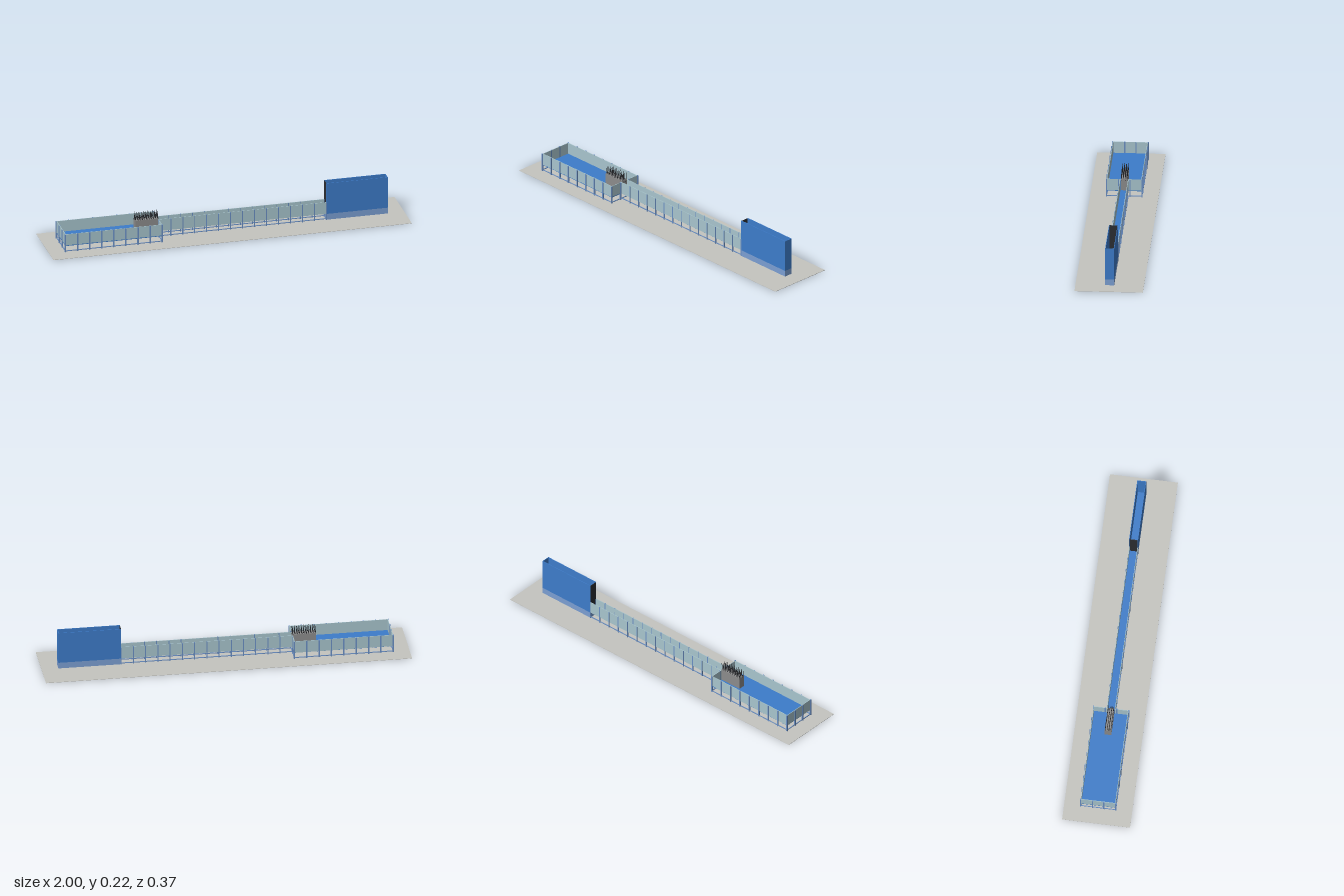
import * as THREE from 'three';

const mat = (color) => new THREE.MeshStandardMaterial({ color });

export function createModel() {
  const model = new THREE.Group();
  const blue = mat(0x3d7cca), paleBlue = mat(0x7b9fd3), frameBlue = mat(0x6a8fc4);
  const glass = mat(0xa8c5ce), concrete = mat(0xc5c5c0), dark = mat(0x2b2d31), grey = mat(0x8c8c8c);

  // box given by its minimum and maximum on each axis
  function box(parent, name, x0, x1, y0, y1, z0, z1, material) {
    const mesh = new THREE.Mesh(new THREE.BoxGeometry(x1 - x0, y1 - y0, z1 - z0), material);
    mesh.position.set((x0 + x1) / 2, (y0 + y1) / 2, (z0 + z1) / 2);
    mesh.name = name;
    parent.add(mesh);
    return mesh;
  }
  function group(name) {
    const g = new THREE.Group();
    g.name = name;
    model.add(g);
    return g;
  }
  const post = (parent, x, z, s = 0.007, top = WALL_TOP) =>
    box(parent, 'post', x - s / 2, x + s / 2, 0.002, top, z - s / 2, z + s / 2, frameBlue);

  const WALL_TOP = 0.104, DECK = 0.036, FLOOR = 0.04, T = 0.003;
  const B0 = -0.91, B1 = -0.37, BZ = 0.095;   // basin
  const C1 = 0.565, CZ = 0.022;               // channel
  const H1 = 0.908, HZ = 0.0245;              // head tank

  box(model, 'groundSlab', -1, 1, 0, 0.002, -0.185, 0.185, concrete);

  // Wide basin
  const basin = group('basin');
  box(basin, 'basinFloor', B0, B1, DECK, FLOOR, -BZ, BZ, blue);
  box(basin, 'basinEndWall', B0, B0 + T, DECK, WALL_TOP, -BZ, BZ, glass);
  for (const s of [-1, 1]) {
    const side = (a, b) => [Math.min(s * a, s * b), Math.max(s * a, s * b)];
    box(basin, 'basinSideWall', B0, B1, DECK, WALL_TOP, ...side(BZ - T, BZ), glass);
    box(basin, 'basinInletWall', B1 - T, B1, DECK, WALL_TOP, ...side(CZ, BZ), glass);
    box(basin, 'basinLowerRail', B0, B1, 0.006, 0.01, ...side(BZ - 0.001, BZ + 0.003), frameBlue);
    for (let i = 0; i <= 8; i++) post(basin, B0 + (B1 - B0) * i / 8, s * (BZ + 0.001));
    for (const x of [B0, B1]) post(basin, x, s * 0.031);
  }
  for (const x of [B0, B1])
    box(basin, 'basinCrossRail', x - 0.002, x + 0.002, 0.006, 0.01, -BZ, BZ, frameBlue);

  // Long narrow channel
  const channel = group('channel');
  box(channel, 'channelFloor', B1, C1, DECK, FLOOR, -CZ, CZ, blue);
  for (const s of [-1, 1]) {
    const z = s * CZ;
    box(channel, 'channelWall', B1, C1, DECK, WALL_TOP, z - T / 2, z + T / 2, glass);
    box(channel, 'channelLowerRail', B1, C1, 0.006, 0.01, z - 0.002, z + 0.002, frameBlue);
    for (let i = 1; i <= 14; i++) post(channel, B1 + (C1 - B1) * i / 14, s * (CZ + 0.001), 0.005);
  }

  // Tall open head tank on its plinth
  const tank = group('headTank');
  box(tank, 'tankPlinth', C1, H1, 0.002, DECK, -HZ, HZ, paleBlue);
  box(tank, 'tankFloor', C1, H1, DECK, FLOOR, -HZ, HZ, blue);
  for (const s of [-1, 1])
    box(tank, 'tankSideWall', C1, H1, DECK, 0.215, s * HZ - (s > 0 ? T : 0), s * HZ + (s > 0 ? 0 : T), blue);
  box(tank, 'tankEndWall', H1 - T, H1, DECK, 0.215, -HZ, HZ, blue);
  box(tank, 'tankGate', C1, C1 + T, DECK, 0.213, -HZ + T, HZ - T, dark);

  // Block of flow straighteners with upright rods
  const comb = group('rodArray');
  box(comb, 'rodBlock', -0.5, B1, FLOOR, 0.108, -0.018, 0.018, grey);
  const rodGeometry = new THREE.CylinderGeometry(0.0012, 0.002, 0.045, 6);
  for (let i = 0; i < 11; i++) {
    for (let j = 0; j < 4; j++) {
      const rod = new THREE.Mesh(rodGeometry, dark);
      rod.name = 'rod';
      rod.position.set(-0.497 + i * 0.0124, (i + j) % 2 ? 0.118 : 0.125, -0.015 + j * 0.01);
      rod.rotation.z = (j % 2 ? 1 : -1) * 0.08;
      comb.add(rod);
    }
  }
  return model;
}
